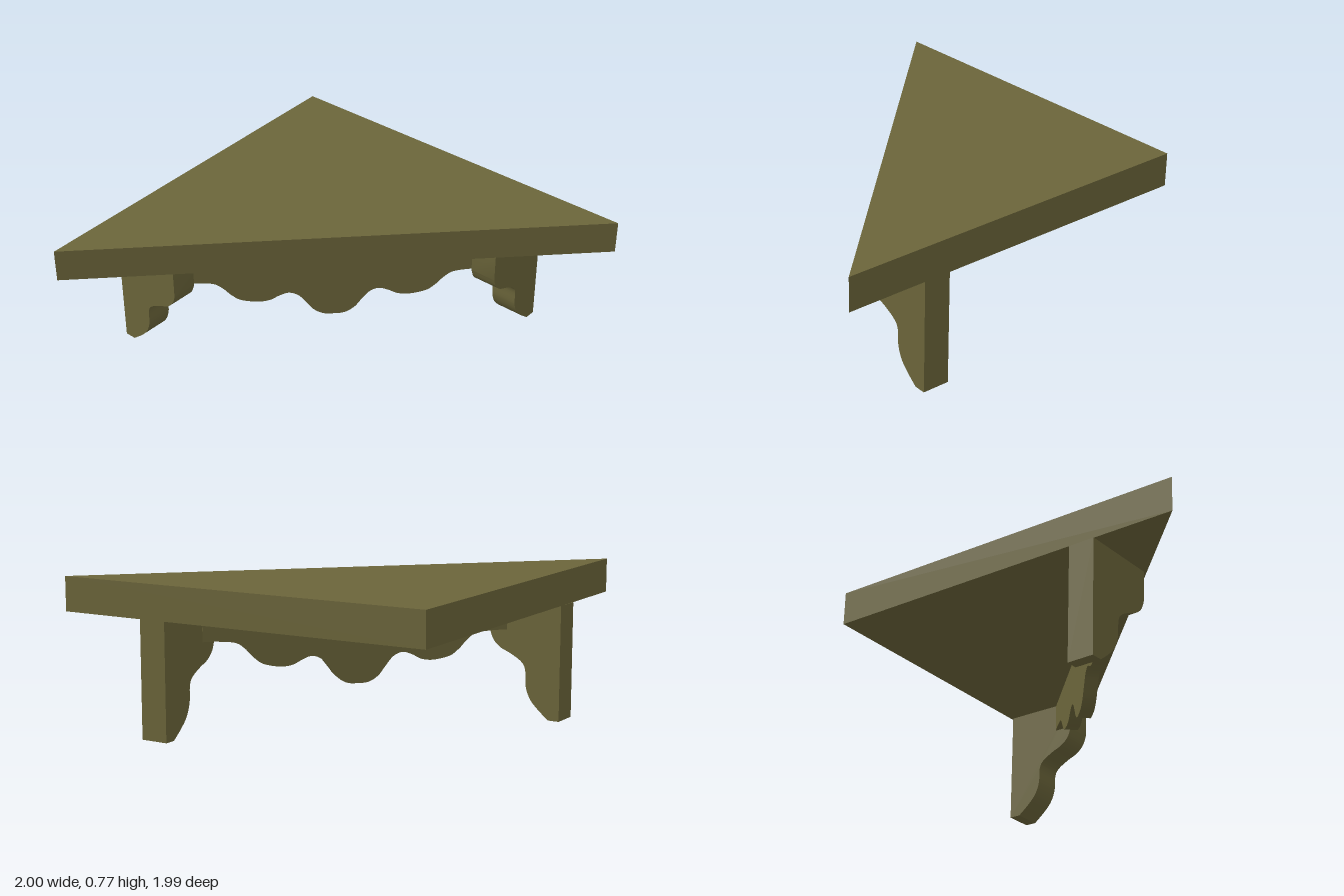
import * as THREE from 'three';
import { toCreasedNormals } from 'three/addons/utils/BufferGeometryUtils.js';

const UNDERSIDE = 0.595;
const TOP = 0.77;

const vectors = (points) => points.map(([x, y]) => new THREE.Vector2(x, y));

// Extrudes a shape along +z, smooth on curves and sharp on corners
function extrude(shape, depth) {
  const geometry = new THREE.ExtrudeGeometry(shape, { depth, bevelEnabled: false, curveSegments: 40 });
  return toCreasedNormals(geometry, 0.6);
}

// Triangular corner slab; shape y becomes -z
function slabGeometry() {
  const shape = new THREE.Shape(vectors([[-1, -0.99], [1, 1], [-1, 0.97]]));
  return extrude(shape, TOP - UNDERSIDE).rotateX(-Math.PI / 2);
}

// Bracket leg: straight outer edge at x = 0, scrolled inner edge
function legGeometry(depth) {
  const shape = new THREE.Shape();
  shape.moveTo(0, 0);
  shape.lineTo(0.06, 0);
  shape.splineThru(vectors([
    [0.12, 0.05], [0.165, 0.1], [0.19, 0.165], [0.195, 0.25], [0.22, 0.29],
    [0.28, 0.325], [0.34, 0.352], [0.38, 0.39], [0.4, 0.44],
  ]));
  shape.lineTo(0.4, UNDERSIDE);
  shape.lineTo(0, UNDERSIDE);
  return extrude(shape, depth);
}

// Scalloped apron, mirrored about its middle
function apronGeometry(depth) {
  const half = [
    [0.04, 0.21], [0.075, 0.24], [0.1, 0.285], [0.13, 0.335], [0.165, 0.355], [0.2, 0.34],
    [0.235, 0.315], [0.28, 0.308], [0.34, 0.325], [0.375, 0.36], [0.405, 0.405],
    [0.44, 0.437], [0.505, 0.447], [0.555, 0.447],
  ].map(([s, y]) => [s * Math.SQRT2, y]);
  const edge = [...half.map(([s, y]) => [-s, y]).reverse(), [0, 0.205], ...half];
  const end = half[half.length - 1][0];
  const shape = new THREE.Shape();
  shape.moveTo(...edge[0]);
  shape.splineThru(vectors(edge.slice(1)));
  shape.lineTo(end, UNDERSIDE);
  shape.lineTo(-end, UNDERSIDE);
  return extrude(shape, depth).translate(0, 0, -depth);
}

export function createModel() {
  const model = new THREE.Group();
  model.name = 'cornerShelf';
  const wood = new THREE.MeshStandardMaterial({ color: 0x6b653a });
  wood.name = 'olive wood';

  function add(name, geometry, x, y, z, turn = 0) {
    const mesh = new THREE.Mesh(geometry, wood);
    mesh.name = name;
    mesh.position.set(x, y, z);
    mesh.rotation.y = turn;
    model.add(mesh);
  }

  add('shelfTop', slabGeometry(), 0, UNDERSIDE, 0);
  add('frontLeg', legGeometry(0.14), -1, 0, 0.425, -0.025);
  add('sideLeg', legGeometry(0.145), 0.557, 0, -0.98, -Math.PI / 2);
  add('apron', apronGeometry(0.07), -0.095, 0, -0.075, Math.PI / 4);
  return model;
}
